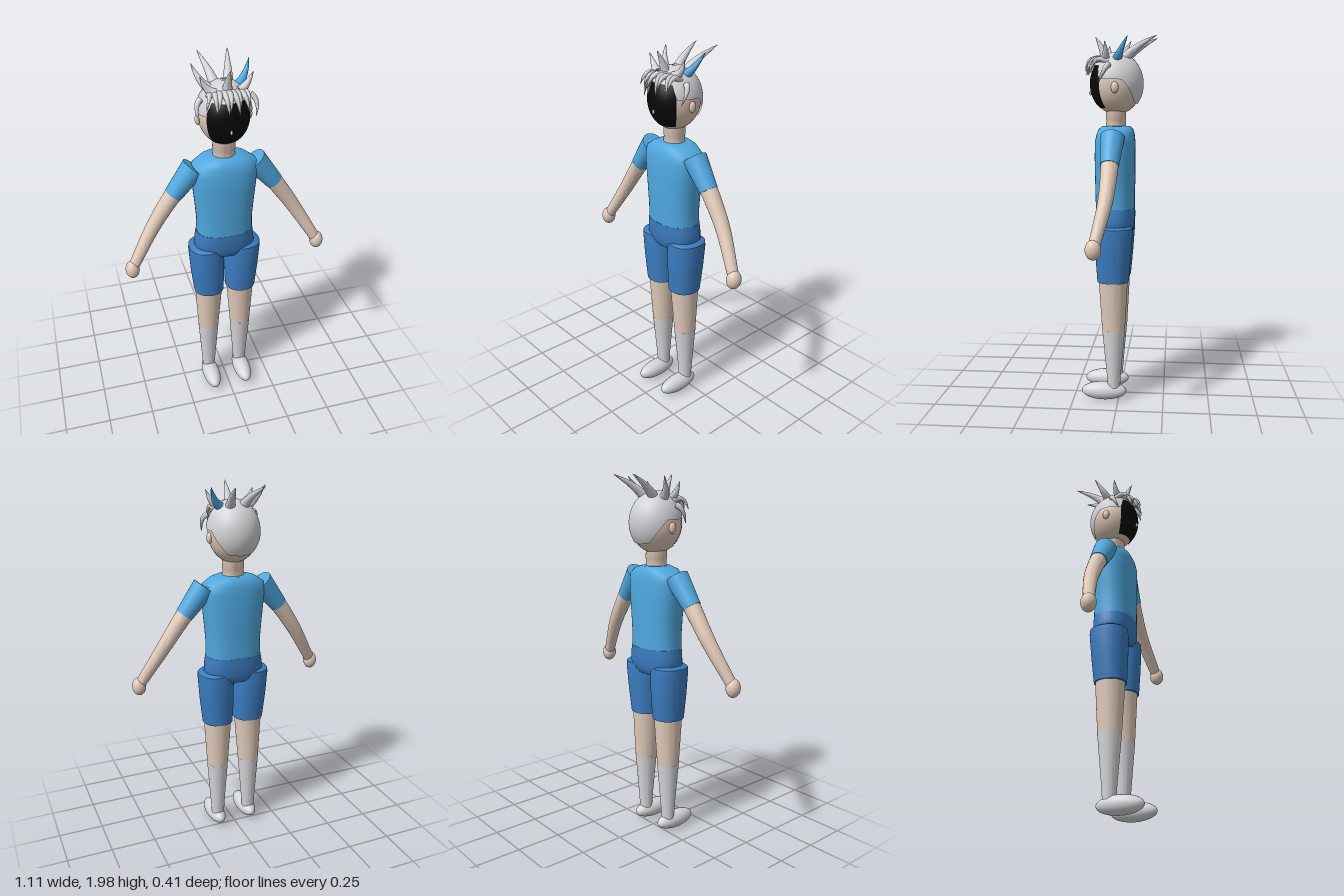
import * as THREE from 'three';
import { toCreasedNormals } from 'three/addons/utils/BufferGeometryUtils.js';

const V = (x, y, z) => new THREE.Vector3(x, y, z);
const mat = (name, color) => {
  const m = new THREE.MeshStandardMaterial({ color });
  m.name = name;
  return m;
};

// Closed skin over a list of rings, capped at both ends
function skin(rings) {
  const n = rings[0].length, pos = [], idx = [];
  rings.forEach(r => r.forEach(p => pos.push(p.x, p.y, p.z)));
  for (let j = 0; j < rings.length - 1; j++) for (let i = 0; i < n; i++) {
    const a = j * n + i, b = j * n + (i + 1) % n;
    idx.push(a, b, a + n, b, b + n, a + n);
  }
  [0, rings.length - 1].forEach((j, end) => {
    const c = pos.length / 3, mid = V(0, 0, 0);
    rings[j].forEach(p => mid.addScaledVector(p, 1 / n));
    pos.push(mid.x, mid.y, mid.z);
    for (let i = 0; i < n; i++) {
      const a = j * n + i, b = j * n + (i + 1) % n;
      end ? idx.push(c, a, b) : idx.push(c, b, a);
    }
  });
  const g = new THREE.BufferGeometry();
  g.setAttribute('position', new THREE.Float32BufferAttribute(pos, 3));
  g.setIndex(idx);
  return toCreasedNormals(g, 0.75);
}

// Horizontal sections, bottom to top: [x, y, z, halfWidth, halfDepth]
function loft(sections, power = 2, n = 40) {
  const bend = v => Math.sign(v) * Math.abs(v) ** (2 / power);
  return skin(sections.map(([x, y, z, w, d]) => Array.from({ length: n }, (_, i) => {
    const a = i / n * Math.PI * 2;
    return V(x + w * bend(Math.cos(a)), y, z - d * bend(Math.sin(a)));
  })));
}

// Round sweep along a curve with a changing radius
function sweep(curve, radius, steps = 12, n = 20) {
  const f = curve.computeFrenetFrames(steps);
  return skin(Array.from({ length: steps + 1 }, (_, j) => {
    const c = curve.getPointAt(j / steps), r = radius(j / steps);
    return Array.from({ length: n }, (_, i) => {
      const a = i / n * Math.PI * 2;
      return c.clone().addScaledVector(f.normals[j], r * Math.cos(a))
        .addScaledVector(f.binormals[j], r * Math.sin(a));
    });
  }));
}

// Piecewise linear lookup in [[input, output], ...]
function lookup(table, t) {
  for (let i = 1; i < table.length; i++) {
    const [a, u] = table[i - 1], [b, v] = table[i];
    if (t <= b) return u + (v - u) * (t - a) / (b - a);
  }
  return table[table.length - 1][1];
}

const HEAD = V(0, 1.738, 0.018);

// Patch of the head ellipsoid between two heights, over a range of azimuths
function headPatch(rx, ry, rz, a0, a1, topY, bottomY, nu, nv) {
  const pos = [], idx = [];
  const polar = y => Math.acos(THREE.MathUtils.clamp((y - HEAD.y) / ry, -1, 1));
  for (let i = 0; i <= nu; i++) for (let j = 0; j <= nv; j++) {
    const a = a0 + (a1 - a0) * i / nu;
    const t = THREE.MathUtils.lerp(polar(topY), polar(bottomY(Math.abs(a))), j / nv);
    pos.push(rx * Math.sin(t) * Math.sin(a), HEAD.y + ry * Math.cos(t), HEAD.z + rz * Math.sin(t) * Math.cos(a));
    if (i < nu && j < nv) {
      const p = i * (nv + 1) + j, q = p + nv + 1;
      idx.push(p, p + 1, q, q, p + 1, q + 1);
    }
  }
  const g = new THREE.BufferGeometry();
  g.setAttribute('position', new THREE.Float32BufferAttribute(pos, 3));
  g.setIndex(idx);
  g.computeVertexNormals();
  return g;
}

export function createModel() {
  const model = new THREE.Group();
  const skinTone = mat('skin', 0xe0cab9), white = mat('white', 0xd6d6da), black = mat('black', 0x080808);
  const shirt = mat('shirt blue', 0x4fa8e0), shorts = mat('shorts blue', 0x3b7cc0);
  const hair = mat('hair', 0xd2d2d6);
  hair.side = THREE.DoubleSide;

  const add = (name, geo, material) => {
    const m = new THREE.Mesh(geo, material);
    m.name = name;
    model.add(m);
    return m;
  };
  const ball = (name, material, p, rx, ry, rz) => {
    const m = add(name, new THREE.SphereGeometry(1, 32, 24), material);
    m.position.copy(p);
    m.scale.set(rx, ry, rz);
    return m;
  };

  // Torso and hips
  add('shirt', loft([
    [0, 1.07, 0.023, 0.152, 0.106], [0, 1.15, 0.024, 0.15, 0.107], [0, 1.25, 0.024, 0.158, 0.109],
    [0, 1.35, 0.024, 0.168, 0.11], [0, 1.43, 0.024, 0.174, 0.108], [0, 1.47, 0.022, 0.168, 0.102],
    [0, 1.5, 0.02, 0.125, 0.092], [0, 1.515, 0.018, 0.07, 0.075],
  ], 2.4), shirt);
  add('hips', loft([
    [0, 0.93, 0.022, 0.13, 0.085], [0, 0.95, 0.022, 0.15, 0.097], [0, 0.98, 0.022, 0.165, 0.105],
    [0, 1.03, 0.022, 0.161, 0.107], [0, 1.075, 0.023, 0.153, 0.107],
  ], 2.4), shorts);

  // Neck
  add('neck', loft([
    [0, 1.5, 0.02, 0.06, 0.056], [0, 1.545, 0.02, 0.056, 0.052], [0, 1.55, 0.02, 0.059, 0.055],
    [0, 1.64, 0.02, 0.057, 0.053],
  ]), skinTone);

  for (const s of [1, -1]) {
    // Legs
    add('shortsLeg', loft([
      [s * 0.092, 0.68, 0.029, 0.083, 0.085], [s * 0.097, 0.82, 0.027, 0.093, 0.096],
      [s * 0.102, 0.95, 0.025, 0.097, 0.103], [s * 0.103, 0.975, 0.025, 0.095, 0.101],
      [s * 0.104, 0.985, 0.025, 0.08, 0.088],
    ], 2.2), shorts);
    add('leg', loft([
      [s * 0.096, 0.4, 0.026, 0.058, 0.062], [s * 0.094, 0.55, 0.027, 0.068, 0.071],
      [s * 0.092, 0.69, 0.028, 0.077, 0.079],
    ]), skinTone);
    add('sock', loft([
      [s * 0.097, 0.07, 0.025, 0.036, 0.034], [s * 0.097, 0.15, 0.025, 0.041, 0.039],
      [s * 0.096, 0.41, 0.026, 0.059, 0.063],
    ]), white);
    ball('shoe', white, V(s * 0.097, 0.053, 0.08), 0.05, 0.05, 0.125);

    // Arms
    const sleeve = new THREE.LineCurve3(V(s * 0.16, 1.462, 0.025), V(s * 0.273, 1.32, 0.03));
    add('sleeve', sweep(sleeve, t => 0.064 - 0.016 * t, 6, 28), shirt);
    const arm = new THREE.CatmullRomCurve3([V(s * 0.25, 1.35, 0.029), V(s * 0.3, 1.283, 0.03),
      V(s * 0.39, 1.15, 0.04), V(s * 0.51, 0.955, 0.082)]);
    add('arm', sweep(arm, t => 0.047 - 0.018 * t, 16, 24), skinTone);
    ball('hand', skinTone, V(s * 0.52, 0.935, 0.086), 0.037, 0.05, 0.04);
    ball('ear', skinTone, V(s * 0.132, 1.715, 0.016), 0.014, 0.029, 0.02);
  }

  // Head, dark face and nose
  ball('head', skinTone, HEAD, 0.131, 0.16, 0.139);
  const face = headPatch(0.133, 0.162, 0.142, -0.95, 0.95, 1.84, () => 1.61, 28, 16);
  add('face', face, black);
  ball('nose', skinTone, V(0, 1.69, 0.157), 0.006, 0.012, 0.008);

  // Hair cap with a hairline that drops toward the nape
  const hairline = [[0, 1.83], [0.8, 1.83], [0.95, 1.76], [1.85, 1.755], [2.5, 1.64], [Math.PI, 1.63]];
  add('hairCap', headPatch(0.14, 0.166, 0.146, -Math.PI, Math.PI, 1.9032, a => lookup(hairline, a), 72, 20), hair);

  // Curved tapering hair spikes
  const spike = (name, base, mid, tip, r, material = hair) =>
    add(name, sweep(new THREE.QuadraticBezierCurve3(base, mid, tip), t => r * (1 - t) ** 0.85 + 0.0005, 10, 12), material);
  for (const s of [1, -1]) {
    spike('backSpike', V(s * 0.035, 1.87, -0.03), V(s * 0.05, 1.93, -0.085), V(s * 0.078, 1.982, -0.2), 0.027);
    spike('sideSpike', V(s * 0.065, 1.86, 0.01), V(s * 0.115, 1.89, -0.005), V(s * 0.145, 1.975, -0.052), 0.026,
      s > 0 ? shirt : hair);
    spike('frontSpike', V(s * 0.06, 1.86, 0.075), V(s * 0.105, 1.88, 0.06), V(s * 0.13, 1.95, 0.068), 0.026);
    spike('sideLock', V(s * 0.125, 1.83, 0.05), V(s * 0.165, 1.81, 0.07), V(s * 0.14, 1.735, 0.1), 0.016);
  }
  spike('crestSpike', V(0, 1.865, 0.075), V(0, 1.91, 0.085), V(0, 1.985, 0.13), 0.027);

  // Fringe: a row of locks bending over the forehead
  for (let i = -4; i <= 4; i++) {
    const x = i * 0.024, z = -Math.abs(i) * 0.011, low = i % 2 ? 0.025 : 0;
    spike('fringeLock', V(x * 0.85, 1.865 - Math.abs(i) * 0.004, 0.1 + z), V(x, 1.89, 0.175 + z),
      V(x * 1.1 + (i % 2 ? 0.012 : -0.012), 1.805 - low, 0.184 + z), 0.019);
  }
  return model;
}
